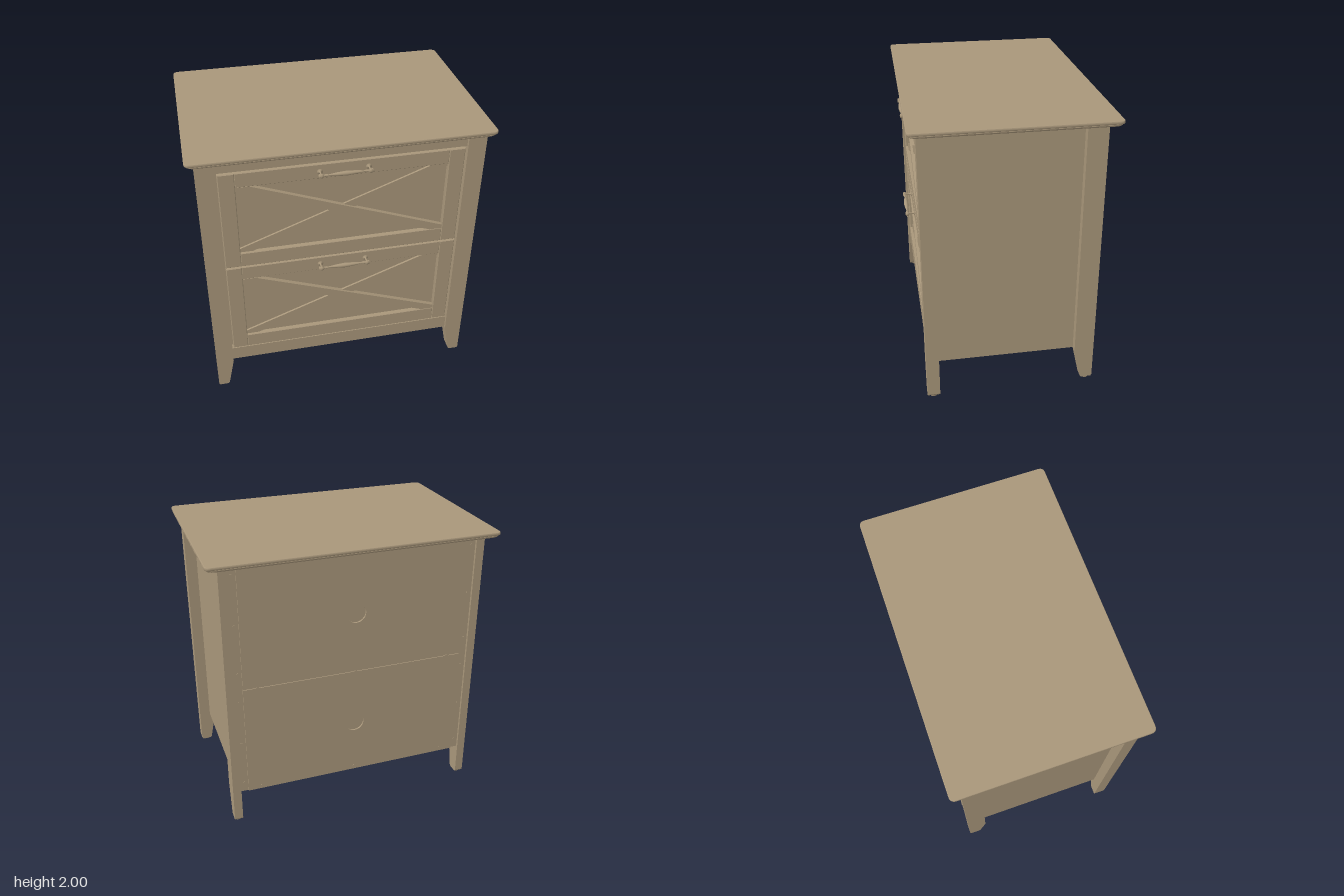
import * as THREE from 'three';
import { toCreasedNormals } from 'three/addons/utils/BufferGeometryUtils.js';

const wood = new THREE.MeshStandardMaterial({ color: 0xa8967a });
wood.name = 'warm taupe';

export function createModel() {
  const root = new THREE.Group();
  root.name = 'fileCabinet';

  const add = (parent, name, geometry) => {
    const mesh = new THREE.Mesh(geometry, wood);
    mesh.name = name;
    parent.add(mesh);
    return mesh;
  };
  // Box given by its limits on each axis
  const block = (parent, name, x0, x1, y0, y1, z0, z1) => {
    const g = new THREE.BoxGeometry(x1 - x0, y1 - y0, z1 - z0);
    g.translate((x0 + x1) / 2, (y0 + y1) / 2, (z0 + z1) / 2);
    return add(parent, name, g);
  };
  const polygon = (pts) => new THREE.Shape(pts.map(([x, y]) => new THREE.Vector2(x, y)));
  const mirrored = (s, a, b) => (s > 0 ? [a, b] : [-b, -a]);
  // Box with chamfered front edges
  const beveled = (parent, name, x0, x1, y0, y1, z0, z1, b) => {
    const g = new THREE.ExtrudeGeometry(
      polygon([[x0 + b, y0 + b], [x1 - b, y0 + b], [x1 - b, y1 - b], [x0 + b, y1 - b]]),
      { depth: z1 - z0 - 2 * b, bevelThickness: b, bevelSize: b, bevelSegments: 1 });
    g.translate(0, 0, z0 + b);
    return add(parent, name, g);
  };
  // Horizontal slab with rounded corners and a rounded edge
  const slab = (name, hx, hz, y0, y1, r, bevelSize) => {
    const t = (y1 - y0) * 0.45, x = hx - bevelSize, z = hz - bevelSize;
    const s = new THREE.Shape();
    s.moveTo(-x + r, -z);
    s.lineTo(x - r, -z); s.quadraticCurveTo(x, -z, x, -z + r);
    s.lineTo(x, z - r); s.quadraticCurveTo(x, z, x - r, z);
    s.lineTo(-x + r, z); s.quadraticCurveTo(-x, z, -x, z - r);
    s.lineTo(-x, -z + r); s.quadraticCurveTo(-x, -z, -x + r, -z);
    const g = new THREE.ExtrudeGeometry(s, {
      depth: y1 - y0 - 2 * t, bevelThickness: t, bevelSize, bevelSegments: 5, curveSegments: 6 });
    g.rotateX(-Math.PI / 2);
    g.translate(0, y0 + t, 0);
    add(root, name, toCreasedNormals(g, 0.28));
  };

  // Top: crisp upper edge, rounded underneath
  slab('topMoulding', 0.998, 0.658, 1.958, 1.996, 0.02, 0.042);
  slab('top', 1, 0.66, 1.979, 2, 0.035, 0.005);

  // Legs tapering on their inner side, with glides, and inset side panels
  const legProfile = (inner, outer) => {
    const foot = inner + (outer - inner) * 0.36;
    const c = Math.sign(outer - inner) * 0.008;
    return polygon([[inner, 1.965], [inner, 0.25], [foot, 0.028], [foot + c, 0.016],
      [outer - c, 0.016], [outer, 0.028], [outer, 1.965]]);
  };
  for (const s of [-1, 1]) {
    const side = s < 0 ? 'right' : 'left';
    const front = new THREE.ExtrudeGeometry(legProfile(s * 0.82, s * 0.945), { depth: 0.088, bevelEnabled: false });
    front.translate(0, 0, 0.516);
    add(root, side + 'FrontLeg', front);

    const rear = new THREE.ExtrudeGeometry(legProfile(-0.448, -0.585), { depth: 0.06, bevelEnabled: false });
    rear.rotateY(-Math.PI / 2);
    rear.translate(s > 0 ? 0.915 : -0.855, 0, 0);
    add(root, side + 'RearLeg', rear);

    for (const [x, z, r] of [[0.905, 0.56, 0.032], [0.885, -0.541, 0.027]]) {
      const glide = add(root, side + 'Glide', new THREE.CylinderGeometry(r, r - 0.005, 0.02, 16));
      glide.position.set(s * x, 0.01, z);
    }
    block(root, side + 'SidePanel', ...mirrored(s, 0.83, 0.865), 0.25, 1.965, -0.45, 0.52);
    block(root, side + 'RearCleat', ...mirrored(s, 0.78, 0.86), 0.25, 1.965, -0.568, -0.44);
  }

  // Carcass
  block(root, 'bottomPanel', -0.84, 0.84, 0.258, 0.29, -0.565, 0.54);
  block(root, 'innerFrontPanel', -0.83, 0.83, 0.28, 1.965, 0.53, 0.545);
  block(root, 'frontBottomRail', -0.82, 0.82, 0.25, 0.357, 0.525, 0.585);
  block(root, 'frontTopRail', -0.82, 0.82, 1.873, 1.965, 0.525, 0.585);

  // Back panels, each with a round cable opening closed by a recessed plug
  const backPanel = (name, y0, y1, holeY) => {
    const s = polygon([[-0.8, y0], [0.8, y0], [0.8, y1], [-0.8, y1]]);
    s.holes.push(new THREE.Path().absarc(0, holeY, 0.068, 0, Math.PI * 2, true));
    const g = new THREE.ExtrudeGeometry(s, { depth: 0.014, bevelEnabled: false, curveSegments: 24 });
    g.translate(0, 0, -0.578);
    add(root, name, g);
    block(root, 'cablePlug', -0.09, 0.09, holeY - 0.09, holeY + 0.09, -0.566, -0.55);
  };
  backPanel('lowerBackPanel', 0.25, 1.078, 0.66);
  backPanel('upperBackPanel', 1.082, 1.965, 1.52);

  // Screw heads on the back
  const screw = (x, y, z) => {
    const g = new THREE.CylinderGeometry(0.01, 0.01, 0.006, 10);
    g.rotateX(Math.PI / 2);
    add(root, 'screw', g).position.set(x, y, z);
  };
  for (const x of [-0.7, 0, 0.7]) for (const y of [0.275, 1.08]) screw(x, y, -0.578);
  for (const s of [-1, 1]) for (const y of [0.32, 0.65, 0.98, 1.2, 1.55, 1.9]) screw(s * 0.828, y, -0.568);

  // Pull: two rosettes on posts joined by a swelling grip
  const points = (list) => list.map(([x, y]) => new THREE.Vector2(x, y));
  const gripProfile = points([[0, -0.18], [0.012, -0.178], [0.014, -0.168], [0.006, -0.15], [0.009, -0.13],
    [0.005, -0.115], [0.012, -0.06], [0.016, 0], [0.012, 0.06], [0.005, 0.115], [0.009, 0.13],
    [0.006, 0.15], [0.014, 0.168], [0.012, 0.178], [0, 0.18]]);
  const postProfile = points([[0, 0], [0.022, 0], [0.019, 0.005], [0.006, 0.01], [0.006, 0.045],
    [0.014, 0.052], [0.016, 0.06], [0.012, 0.067], [0, 0.069]]);
  const pull = (parent, y) => {
    const group = new THREE.Group();
    group.name = 'pull';
    group.position.set(0, y, 0);
    const grip = new THREE.LatheGeometry(gripProfile, 16);
    grip.rotateZ(-Math.PI / 2);
    add(group, 'grip', grip).position.z = 0.643;
    for (const s of [-1, 1]) {
      const g = new THREE.LatheGeometry(postProfile, 16);
      g.rotateX(Math.PI / 2);
      add(group, 'post', g).position.set(s * 0.16, 0, 0.589);
    }
    parent.add(group);
  };

  // Drawer fronts: frame, recessed panel and crossed braces
  const drawer = (name, y0, y1) => {
    const group = new THREE.Group();
    group.name = name;
    const lo = y0 + 0.11, hi = y1 - 0.105, f = 0.592;
    block(group, 'recessedPanel', -0.72, 0.72, lo - 0.01, hi + 0.01, 0.544, 0.56);
    for (const s of [-1, 1]) beveled(group, 'stile', ...mirrored(s, 0.702, 0.81), y0, y1, 0.542, f, 0.005);
    beveled(group, 'bottomRail', -0.703, 0.703, y0, lo, 0.542, f - 0.001, 0.004);
    beveled(group, 'topRail', -0.703, 0.703, hi, y1, 0.542, f - 0.001, 0.004);
    const brace = (s, depth, label) => {
      const pts = [[-0.703, hi], [-0.615, hi], [0.703, lo + 0.028], [0.703, lo], [0.615, lo], [-0.703, hi - 0.028]];
      const g = new THREE.ExtrudeGeometry(polygon(pts.map(([x, y]) => [s * x, y])), { depth, bevelEnabled: false });
      g.translate(0, 0, 0.558);
      add(group, label, g);
    };
    brace(1, 0.032, 'frontBrace');
    brace(-1, 0.016, 'rearBrace');
    pull(group, y1 - 0.053);
    root.add(group);
  };
  drawer('lowerDrawer', 0.366, 1.11);
  drawer('upperDrawer', 1.12, 1.862);

  return root;
}
